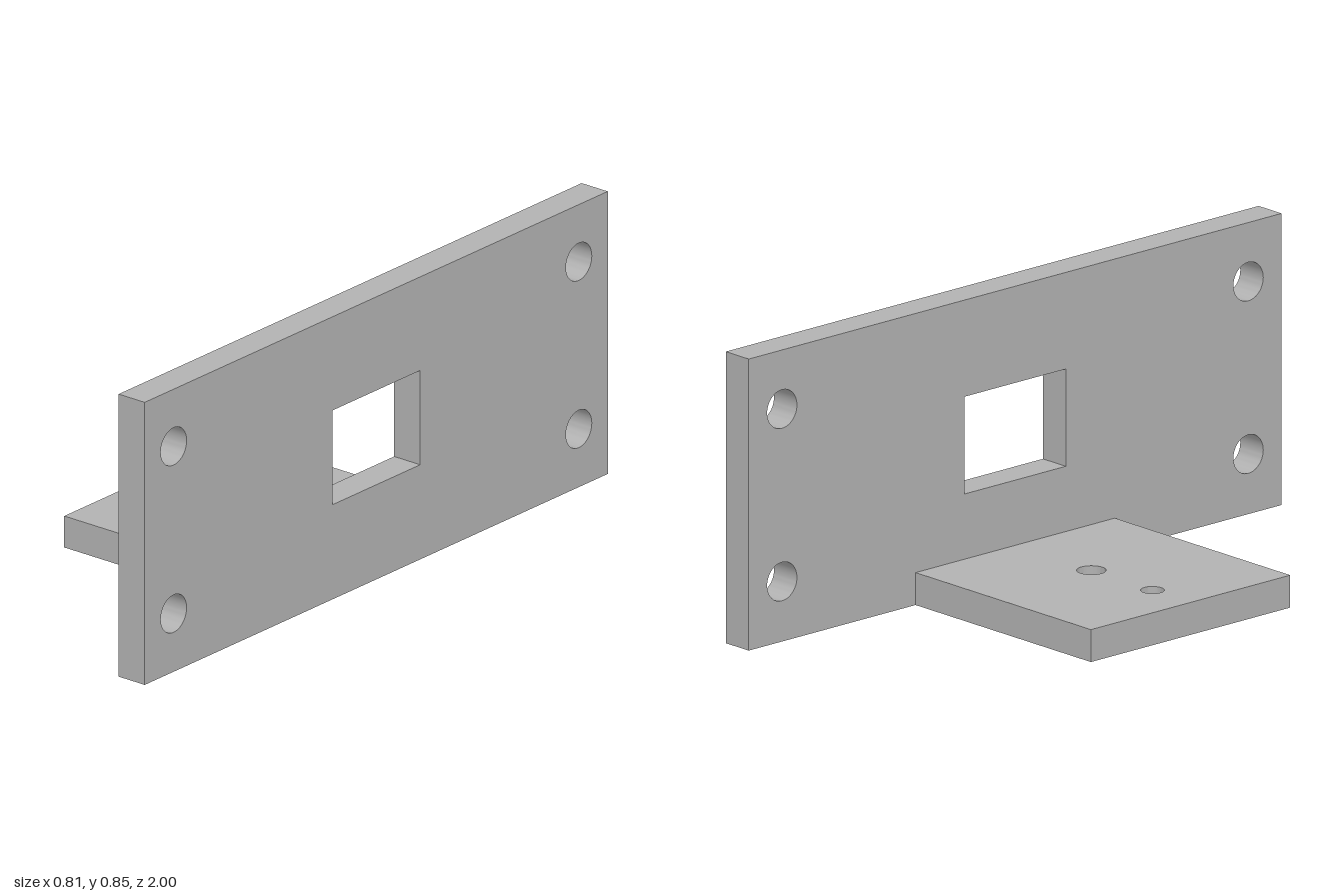
import * as THREE from 'three';
import { toCreasedNormals } from 'three/addons/utils/BufferGeometryUtils.js';

const THICK = 0.094;

// Closed rectangle outline, used for plates and for the window
function rectangle(path, x0, y0, x1, y1) {
  path.moveTo(x0, y0);
  path.lineTo(x1, y0);
  path.lineTo(x1, y1);
  path.lineTo(x0, y1);
  path.closePath();
  return path;
}

function roundHole(x, y, radius) {
  return new THREE.Path().absarc(x, y, radius, 0, Math.PI * 2, true);
}

function plate(shape) {
  const geometry = new THREE.ExtrudeGeometry(shape, { depth: THICK, bevelEnabled: false, curveSegments: 24 });
  return toCreasedNormals(geometry, Math.PI / 6);
}

export function createModel() {
  const group = new THREE.Group();
  group.name = 'mountingBracket';
  const grey = new THREE.MeshStandardMaterial({ color: 0xb2b2b2 });
  grey.name = 'grey';

  // Upright plate with a central window and a bolt hole in each corner
  const wall = rectangle(new THREE.Shape(), -1, 0, 1, 0.845);
  wall.holes.push(rectangle(new THREE.Path(), -0.19, 0.283, 0.19, 0.565));
  for (const z of [-0.875, 0.875]) {
    for (const y of [0.174, 0.674]) wall.holes.push(roundHole(z, y, 0.056));
  }
  const uprightPlate = new THREE.Mesh(plate(wall).rotateY(Math.PI / 2), grey);
  uprightPlate.name = 'uprightPlate';
  uprightPlate.position.x = 0.406 - THICK;
  group.add(uprightPlate);

  // Horizontal shelf with two screw holes
  const shelf = rectangle(new THREE.Shape(), -0.406, -0.374, 0.406 - THICK, 0.374);
  shelf.holes.push(roundHole(-0.25, 0, 0.033), roundHole(0, 0, 0.041));
  const shelfPlate = new THREE.Mesh(plate(shelf).rotateX(-Math.PI / 2), grey);
  shelfPlate.name = 'shelfPlate';
  group.add(shelfPlate);

  return group;
}
